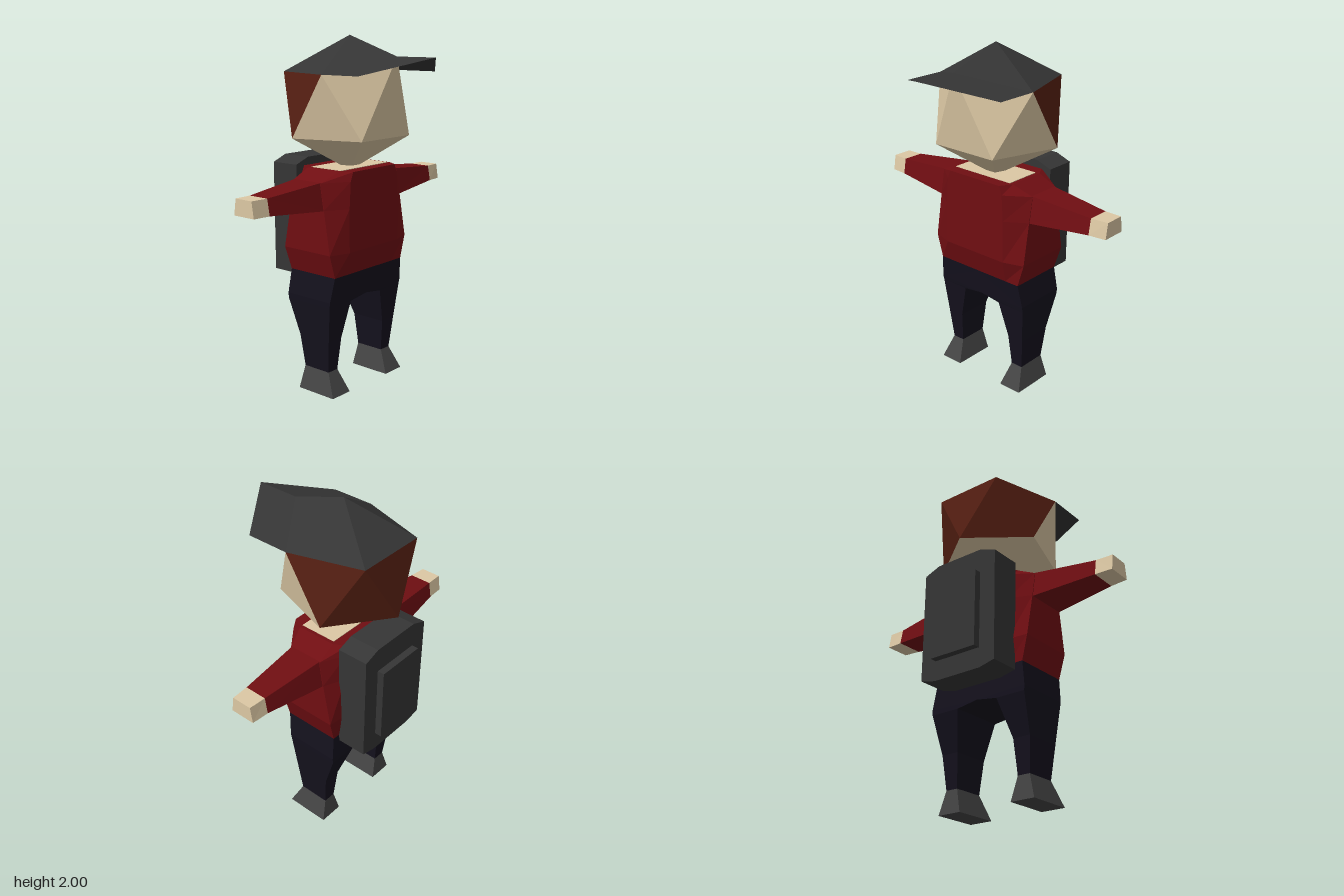
import * as THREE from 'three';

const paint = (color, side = THREE.FrontSide) =>
  new THREE.MeshStandardMaterial({ color, flatShading: true, side });
const SKIN = paint(0xdcc8a4), RED = paint(0x700e12), NAVY = paint(0x14111d);
const HAIR = paint(0x551f12), DARK = paint(0x353535), SHOE = paint(0x444444);
const CAP = paint(0x353535, THREE.DoubleSide);

// Faceted mesh from a list of polygons (arrays of [x, y, z] corners)
function facets(name, polys, material) {
  const pos = [];
  for (const p of polys)
    for (let i = 1; i < p.length - 1; i++) pos.push(...p[0], ...p[i], ...p[i + 1]);
  const geo = new THREE.BufferGeometry();
  geo.setAttribute('position', new THREE.Float32BufferAttribute(pos, 3));
  geo.computeVertexNormals();
  const mesh = new THREE.Mesh(geo, material);
  mesh.name = name;
  return mesh;
}

// Closed solid through a series of rings, wound outwards by its signed volume
function loft(name, rings, material) {
  const polys = [[...rings[0]].reverse(), rings[rings.length - 1]];
  for (let r = 0; r < rings.length - 1; r++) {
    const a = rings[r], b = rings[r + 1], n = a.length;
    for (let i = 0; i < n; i++) {
      const j = (i + 1) % n;
      polys.push([a[i], a[j], b[j], b[i]]);
    }
  }
  const v = (p) => new THREE.Vector3(...p);
  const o = v(rings[0][0]);
  let volume = 0;
  for (const p of polys)
    for (let i = 1; i < p.length - 1; i++)
      volume += v(p[0]).sub(o).dot(v(p[i]).sub(o).cross(v(p[i + 1]).sub(o)));
  return facets(name, volume < 0 ? polys.map((p) => [...p].reverse()) : polys, material);
}

function box(name, x0, x1, y0, y1, z, material) {
  const mesh = new THREE.Mesh(new THREE.BoxGeometry(x1 - x0, y1 - y0, 2 * z), material);
  mesh.position.set((x0 + x1) / 2, (y0 + y1) / 2, 0);
  mesh.name = name;
  return mesh;
}

// Twenty-sided head: hair at the back, cap on top with a folded brim
function makeHead() {
  const g = new THREE.Group();
  g.name = 'head';
  const top = [-0.09, 2, 0], bottom = [-0.09, 1.25, 0];
  const upper = [[0.24, 1.89, 0], [0, 1.8, 0.33], [-0.4, 1.8, 0.205], [-0.4, 1.8, -0.205], [0, 1.8, -0.33]];
  const lower = [[0.17, 1.45, 0.205], [-0.22, 1.45, 0.33], [-0.46, 1.45, 0], [-0.22, 1.45, -0.33], [0.17, 1.45, -0.205]];
  const skin = [], hair = [], cap = [];
  for (let i = 0; i < 5; i++) {
    const j = (i + 1) % 5;
    cap.push([top, upper[j], upper[i]]);
    skin.push([bottom, lower[i], lower[j]]);
    (i >= 1 && i <= 3 ? hair : skin).push([upper[i], upper[j], lower[i]]);
    (i === 1 || i === 2 ? hair : skin).push([upper[j], lower[j], lower[i]]);
  }
  const tip = [0.49, 1.89, 0];
  const brim = [
    [upper[0], upper[1], [0.25, 1.8, 0.33], tip],
    [upper[0], tip, [0.25, 1.8, -0.33], upper[4]],
  ];
  // Wind the head surfaces outwards
  const outward = (polys) => polys.map((p) => {
    const [a, b, c] = p.map((q) => new THREE.Vector3(...q));
    const normal = b.clone().sub(a).cross(c.clone().sub(a));
    const out = a.add(b).add(c).divideScalar(3).sub(new THREE.Vector3(-0.09, 1.625, 0));
    return normal.dot(out) < 0 ? [...p].reverse() : p;
  });
  g.add(facets('face', outward(skin), SKIN), facets('hair', outward(hair), HAIR));
  g.add(facets('cap', outward(cap), CAP), facets('capBrim', brim, CAP));
  return g;
}

// Torso ring: front and back panels with bevels to the sides
function torsoRing(y, back, front, zPanel, sideBack, sideFront, zSide, ySide = y) {
  const half = [[front, y, zPanel], [sideFront, ySide, zSide], [sideBack, ySide, zSide], [back, y, zPanel]];
  return [...half, ...half.map(([x, h, z]) => [x, h, -z]).reverse()];
}

// Arm ring in an x-y plane, narrower on top
const armRing = (z, x0, x1, y0, y1, inset) =>
  [[x0, y0, z], [x1, y0, z], [x1 - inset, y1, z], [x0 + inset, y1, z]];

// Leg ring whose inner and outer edges may sit at different heights
const legRing = (x0, x1, zIn, zOut, yIn, yOut = yIn) =>
  [[x0, yIn, zIn], [x1, yIn, zIn], [x1, yOut, zOut], [x0, yOut, zOut]];

function makeSide(name) {
  const g = new THREE.Group();
  g.name = name;
  const wrist = armRing(0.69, -0.19, -0.03, 1.105, 1.195, 0.016);
  g.add(loft('sleeve', [armRing(0.3, -0.24, 0.01, 1.075, 1.23, 0.025), wrist], RED));
  g.add(loft('hand', [wrist, armRing(0.79, -0.185, -0.04, 1.105, 1.195, 0.014)], SKIN));
  const ankle = legRing(-0.2, -0.02, 0.198, 0.272, 0.13);
  g.add(loft('trouserLeg', [
    legRing(-0.28, 0.05, 0, 0.29, 0.7),
    legRing(-0.29, 0.03, 0, 0.31, 0.55, 0.56),
    legRing(-0.29, 0.025, 0.13, 0.308, 0.53),
    legRing(-0.22, 0, 0.185, 0.29, 0.32),
    ankle,
  ], NAVY));
  g.add(loft('shoe', [ankle, legRing(-0.215, 0.045, 0.165, 0.308, 0)], SHOE));
  return g;
}

// Backpack with chamfered corners and a raised pocket
function makeBackpack() {
  const g = new THREE.Group();
  g.name = 'backpack';
  const outline = [[0.245, 0.66], [0.245, 1.29], [0.15, 1.325], [-0.15, 1.325],
    [-0.245, 1.29], [-0.245, 0.66], [-0.15, 0.638], [0.15, 0.638]];
  g.add(loft('pack', [-0.455, -0.275].map((x) => outline.map(([z, y]) => [x, y, z])), DARK));
  g.add(box('packPocket', -0.495, -0.45, 0.75, 1.185, 0.147, DARK));
  return g;
}

export function createModel() {
  const model = new THREE.Group();
  model.name = 'character';
  model.add(makeHead());

  // Sweater, with the skin showing in the neck opening
  model.add(loft('sweater', [
    torsoRing(0.7, -0.28, 0.05, 0.2, -0.28, 0.05, 0.29),
    torsoRing(0.835, -0.3, 0.088, 0.21, -0.29, 0.05, 0.33),
    torsoRing(1.08, -0.29, 0.088, 0.21, -0.24, 0.01, 0.33),
    torsoRing(1.23, -0.285, 0.088, 0.2, -0.215, -0.015, 0.33, 1.225),
    torsoRing(1.28, -0.28, 0.088, 0.18, -0.21, 0.02, 0.22),
  ], RED));
  model.add(box('neck', -0.2, 0.02, 1.24, 1.283, 0.2, SKIN));

  // Arms and legs, mirrored across z
  const near = makeSide('armAndLegA'), far = makeSide('armAndLegB');
  far.scale.z = -1;
  model.add(near, far, makeBackpack());
  return model;
}
